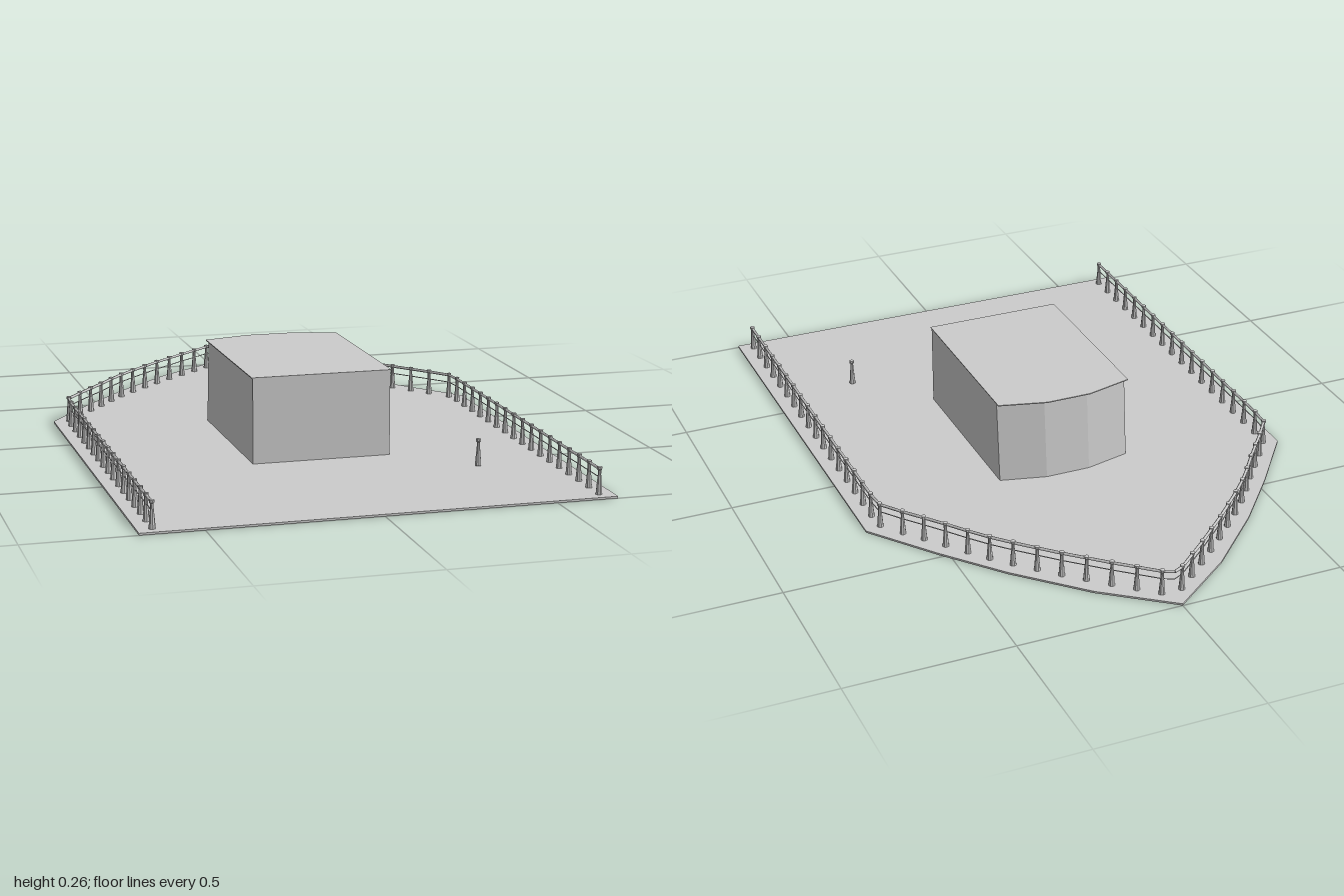
import * as THREE from 'three';
import { ConvexGeometry } from 'three/addons/geometries/ConvexGeometry.js';

const DECK = 0.006;
const mat = new THREE.MeshStandardMaterial({ color: 0xcccccc, flatShading: true });
const smooth = new THREE.MeshStandardMaterial({ color: 0xcccccc });

function add(parent, name, geometry, material = mat) {
  const mesh = new THREE.Mesh(geometry, material);
  mesh.name = name;
  parent.add(mesh);
  return mesh;
}

// Flat slab from [x, z] outline points, its top face at height top
function slab(points, thickness, top) {
  const shape = new THREE.Shape(points.map(([x, z]) => new THREE.Vector2(x, z)));
  const geo = new THREE.ExtrudeGeometry(shape, { depth: thickness, bevelEnabled: false });
  return geo.rotateX(Math.PI / 2).translate(0, top, 0);
}

// Thin round bar between two points
function bar(parent, name, a, b, radius) {
  const mesh = add(parent, name, new THREE.CylinderGeometry(radius, radius, a.distanceTo(b), 6), smooth);
  mesh.position.copy(a).add(b).multiplyScalar(0.5);
  mesh.quaternion.setFromUnitVectors(new THREE.Vector3(0, 1, 0), b.clone().sub(a).normalize());
}

export function createModel() {
  const model = new THREE.Group();
  model.name = 'foredeck';

  // Deck: straight sides running into a pointed, curved bow
  const half = [[0.68, 1], [0.68, -0.29], [0.53, -0.487], [0.385, -0.66], [0.2, -0.846]];
  const mirrored = half.map(([x, z]) => [-x, z]).reverse();
  add(model, 'deck', slab([...half, [0, -1], ...mirrored], DECK, DECK));

  // Cabin: upright front and sides, back wall bowed and leaning inwards
  const plan = (corner, middle, y) => [[0.21, 0.39], [0.21, corner], [0.07, middle]]
    .flatMap(([x, z]) => [new THREE.Vector3(x, y, z), new THREE.Vector3(-x, y, z)]);
  const cabin = new THREE.Group();
  cabin.name = 'cabin';
  model.add(cabin);
  add(cabin, 'cabinWalls', new ConvexGeometry([...plan(-0.175, -0.21, DECK), ...plan(-0.153, -0.188, 0.263)]));
  add(cabin, 'cabinRoof', slab([[0.213, 0.392], [0.213, -0.175], [0.07, -0.213],
    [-0.07, -0.213], [-0.213, -0.175], [-0.213, 0.392]], 0.003, 0.265));

  // Post positions: along one side, round the bow, back along the other
  const side = [];
  for (let i = 0; i < 17; i++) side.push([0.637, 0.965 - i * 0.0738]);
  side.push([0.632, -0.28], [0.585, -0.344], [0.54, -0.4], [0.495, -0.457], [0.45, -0.517], [0.405, -0.573],
    [0.355, -0.627], [0.303, -0.68], [0.25, -0.733], [0.196, -0.783], [0.141, -0.834], [0.086, -0.882], [0.031, -0.93]);
  const posts = [...side, ...side.map(([x, z]) => [-x, z]).reverse()];

  // Stanchions: tapered post with a small cap
  const profile = [[0, 0], [0.01, 0], [0.0095, 0.006], [0.005, 0.058], [0.005, 0.07], [0.0075, 0.073],
    [0.0075, 0.08], [0, 0.082]].map(([r, y]) => new THREE.Vector2(r, y));
  const postGeo = new THREE.LatheGeometry(profile, 8);
  const railing = new THREE.Group();
  railing.name = 'railing';
  model.add(railing);
  for (const [x, z] of posts) add(railing, 'post', postGeo).position.set(x, DECK - 0.001, z);

  // Lone post standing inside the railing
  add(model, 'loosePost', postGeo).position.set(0.415, DECK + 0.004, 0.593);

  // Top rail and thin lower wire, passing over the bow tip
  const path = [...side, [0, -0.945], ...posts.slice(side.length)];
  for (let i = 1; i < path.length; i++) {
    const [[ax, az], [bx, bz]] = [path[i - 1], path[i]];
    for (const [name, y, r] of [['topRail', 0.079, 0.0045], ['lowerWire', 0.055, 0.0015]]) {
      bar(railing, name, new THREE.Vector3(ax, y, az), new THREE.Vector3(bx, y, bz), r);
    }
  }
  return model;
}
